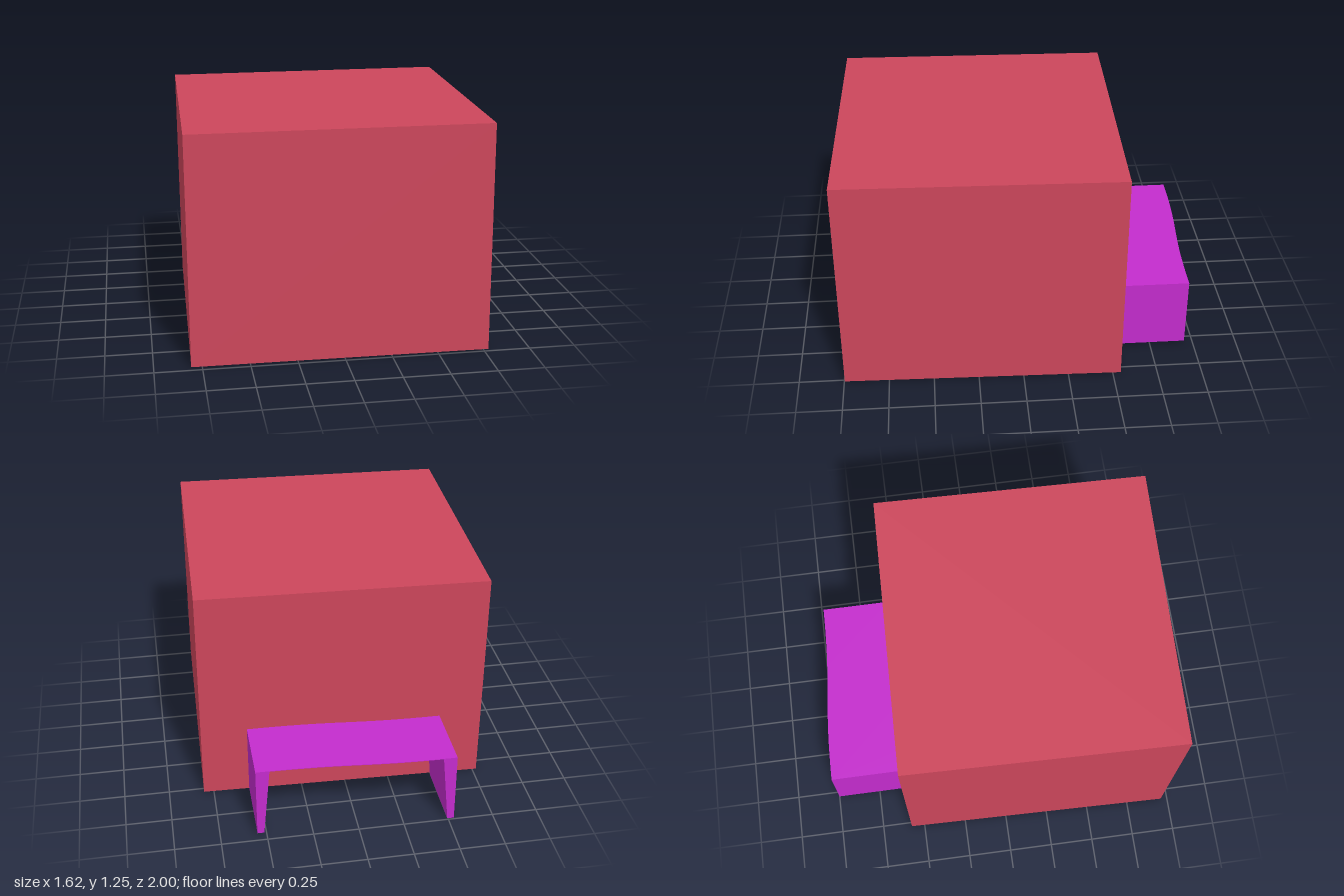
import * as THREE from 'three';

export function createModel() {
  const model = new THREE.Group();
  const red = new THREE.MeshStandardMaterial({ color: 0xcc465b });
  const purple = new THREE.MeshStandardMaterial({ color: 0xc42ccd });

  const add = (name, geometry, material, parent) => {
    const mesh = new THREE.Mesh(geometry, material);
    mesh.name = name;
    parent.add(mesh);
    return mesh;
  };

  // Large block, turned and tilted very slightly
  const block = add('block', new THREE.BoxGeometry(1.58, 1.237, 1.54), red, model);
  block.position.set(-0.004, 0.627, 0.209);
  block.rotation.set(0, -0.022, 0.006);

  // Low bench behind the block
  const bench = new THREE.Group();
  bench.name = 'bench';
  model.add(bench);

  const left = 0.55, right = -0.53, top = 0.42, bottom = 0.012;
  const depth = 0.4, sheet = 0.003, zLeft = -0.952, zRight = -1;

  // Thin seat with S-curved long edges
  const seat = new THREE.Shape();
  seat.moveTo(right, zRight);
  seat.bezierCurveTo(0, zRight, 0, zLeft, left, zLeft);
  seat.lineTo(left, zLeft + depth);
  seat.bezierCurveTo(0, zLeft + depth, 0, zRight + depth, right, zRight + depth);
  const seatGeometry = new THREE.ExtrudeGeometry(seat, {
    depth: sheet, bevelEnabled: false, curveSegments: 24,
  });
  seatGeometry.rotateX(Math.PI / 2);
  add('benchSeat', seatGeometry, purple, bench).position.y = top;

  // Slab legs, tapering inwards from top to bottom
  const addLeg = (name, x, z, inward) => {
    const profile = new THREE.Shape([
      new THREE.Vector2(x, bottom),
      new THREE.Vector2(x + inward * 0.037, bottom),
      new THREE.Vector2(x + inward * 0.075, top - sheet),
      new THREE.Vector2(x, top - sheet),
    ]);
    const geometry = new THREE.ExtrudeGeometry(profile, { depth, bevelEnabled: false });
    add(name, geometry, purple, bench).position.z = z;
  };
  addLeg('benchLegLeft', left, zLeft, -1);
  addLeg('benchLegRight', right, zRight, 1);

  return model;
}
